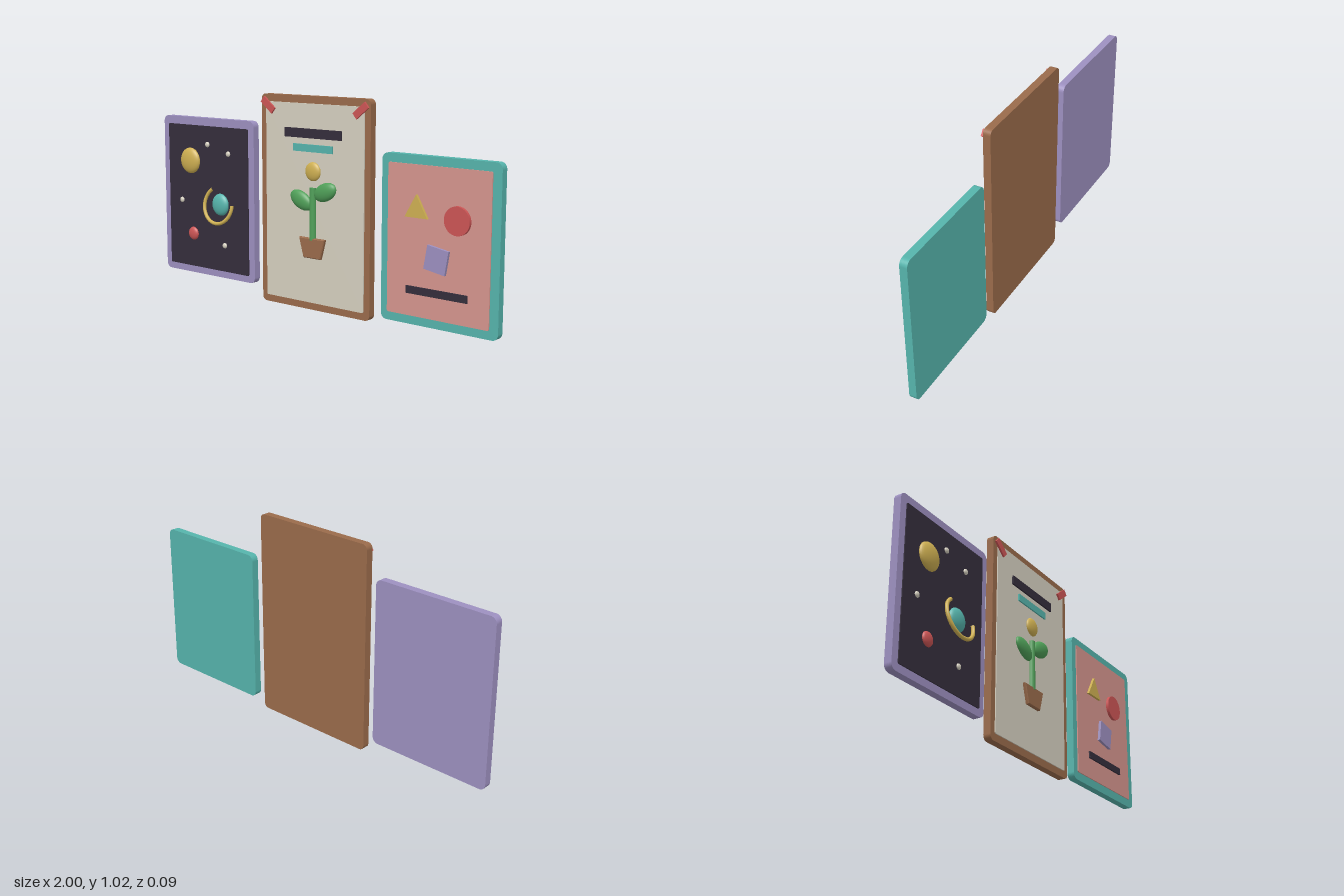
import * as THREE from 'three';

const mat = (name, color) => {
  const m = new THREE.MeshStandardMaterial({ color });
  m.name = name;
  return m;
};

export function createModel() {
  const lavender = mat('lavender', 0x9d90c0), brown = mat('brown', 0x9a6b4b), teal = mat('teal', 0x56b4ac);
  const cream = mat('cream', 0xd6d0c0), pink = mat('pink', 0xd6958e), dark = mat('dark plum', 0x352e3c);
  const yellow = mat('yellow', 0xcfb052), red = mat('red', 0xcc5555), green = mat('green', 0x4f9f58);

  const root = new THREE.Group();
  root.name = 'posterSet';
  const poster = (name) => {
    const g = new THREE.Group();
    g.name = name;
    root.add(g);
    return g;
  };
  const add = (parent, name, geo, material, x, y, z, rotZ = 0) => {
    const m = new THREE.Mesh(geo, material);
    m.name = name;
    m.position.set(x, y, z);
    m.rotation.z = rotZ;
    parent.add(m);
    return m;
  };

  // Rounded rectangle slab between two depths
  const slab = (parent, name, material, x0, x1, y0, y1, z0, z1, r) => {
    const w = (x1 - x0) / 2, h = (y1 - y0) / 2;
    const s = new THREE.Shape();
    s.moveTo(-w + r, -h);
    s.absarc(w - r, -h + r, r, -Math.PI / 2, 0);
    s.absarc(w - r, h - r, r, 0, Math.PI / 2);
    s.absarc(-w + r, h - r, r, Math.PI / 2, Math.PI);
    s.absarc(-w + r, -h + r, r, Math.PI, Math.PI * 1.5);
    const geo = new THREE.ExtrudeGeometry(s, { depth: z1 - z0, bevelEnabled: false, curveSegments: 6 });
    add(parent, name, geo, material, (x0 + x1) / 2, (y0 + y1) / 2, z0);
  };
  // Flattened ball
  const blob = (parent, name, material, x, y, rx, ry, rz, rotZ = 0, z = 0) =>
    add(parent, name, new THREE.SphereGeometry(1, 28, 18), material, x, y, z, rotZ).scale.set(rx, ry, rz);
  const bar = (parent, name, material, x, y, w, h, front, rotZ = 0) =>
    add(parent, name, new THREE.BoxGeometry(w, h, front + 0.002), material, x, y, front / 2 - 0.001, rotZ);
  // Extruded polygon
  const plate = (parent, name, material, points, depth, bevel = 0) => {
    const s = new THREE.Shape(points.map(([x, y]) => new THREE.Vector2(x, y)));
    const geo = new THREE.ExtrudeGeometry(s, {
      depth, bevelEnabled: bevel > 0, bevelSize: bevel, bevelOffset: -bevel, bevelThickness: bevel, bevelSegments: 1,
    });
    return add(parent, name, geo, material, 0, 0, 0);
  };

  // Space poster
  const space = poster('spacePoster');
  slab(space, 'spaceFrame', lavender, -1, -0.375, 0.07, 0.88, -0.043, -0.006, 0.03);
  slab(space, 'spacePanel', dark, -0.963, -0.412, 0.105, 0.84, -0.012, -0.001, 0.008);
  blob(space, 'sun', yellow, -0.806, 0.657, 0.066, 0.066, 0.026);
  blob(space, 'planet', teal, -0.597, 0.448, 0.054, 0.056, 0.025);
  blob(space, 'smallPlanet', red, -0.792, 0.278, 0.034, 0.034, 0.016);
  [[-0.685, 0.747], [-0.542, 0.709], [-0.872, 0.447], [-0.572, 0.24]].forEach(([x, y], i) =>
    blob(space, 'star' + (i + 1), cream, x, y, 0.014, 0.014, 0.009));
  const ring = new THREE.TorusGeometry(0.094, 0.009, 10, 40, 4.2);
  ring.rotateZ(2.15);
  add(space, 'planetRing', ring, yellow, -0.597, 0.448, 0.019).rotation.x = -0.19;

  // Plant poster
  const plant = poster('plantPoster');
  slab(plant, 'plantFrame', brown, -0.32, 0.33, 0, 1.02, -0.043, -0.006, 0.025);
  slab(plant, 'plantPanel', cream, -0.288, 0.298, 0.035, 0.985, -0.012, -0.001, 0.008);
  bar(plant, 'titleBar', dark, 0.003, 0.846, 0.34, 0.044, 0.007);
  bar(plant, 'subtitleBar', teal, 0.003, 0.777, 0.235, 0.035, 0.006);
  blob(plant, 'flower', yellow, 0.003, 0.668, 0.045, 0.045, 0.018);
  add(plant, 'stem', new THREE.CylinderGeometry(0.016, 0.018, 0.25, 16), green, 0.003, 0.467, 0);
  blob(plant, 'rightLeaf', green, -0.067, 0.527, 0.07, 0.042, 0.024, -0.45);
  blob(plant, 'leftLeaf', green, 0.076, 0.577, 0.068, 0.042, 0.024, 0.42);
  plate(plant, 'pot', brown, [[-0.046, 0.255], [0.056, 0.255], [0.082, 0.352], [-0.073, 0.352]], 0.012, 0.004);
  for (const s of [-1, 1])
    bar(plant, s < 0 ? 'rightTape' : 'leftTape', red, 0.005 + s * 0.276, 0.968, 0.086, 0.034, 0.008, s * 0.68);

  // Shapes poster
  const shapes = poster('shapesPoster');
  slab(shapes, 'shapesFrame', teal, 0.395, 1, 0.03, 0.79, -0.043, -0.006, 0.03);
  slab(shapes, 'shapesPanel', pink, 0.431, 0.957, 0.07, 0.75, -0.012, -0.001, 0.008);
  plate(shapes, 'triangle', yellow, [[0.53, 0.517], [0.648, 0.517], [0.589, 0.62]], 0.013);
  const disc = new THREE.CylinderGeometry(0.064, 0.064, 0.016, 36);
  disc.rotateX(Math.PI / 2);
  add(shapes, 'disc', disc, red, 0.797, 0.525, 0.005);
  bar(shapes, 'square', lavender, 0.696, 0.342, 0.11, 0.11, 0.013, -0.17);
  bar(shapes, 'captionBar', dark, 0.694, 0.19, 0.315, 0.034, 0.007);

  return root;
}
